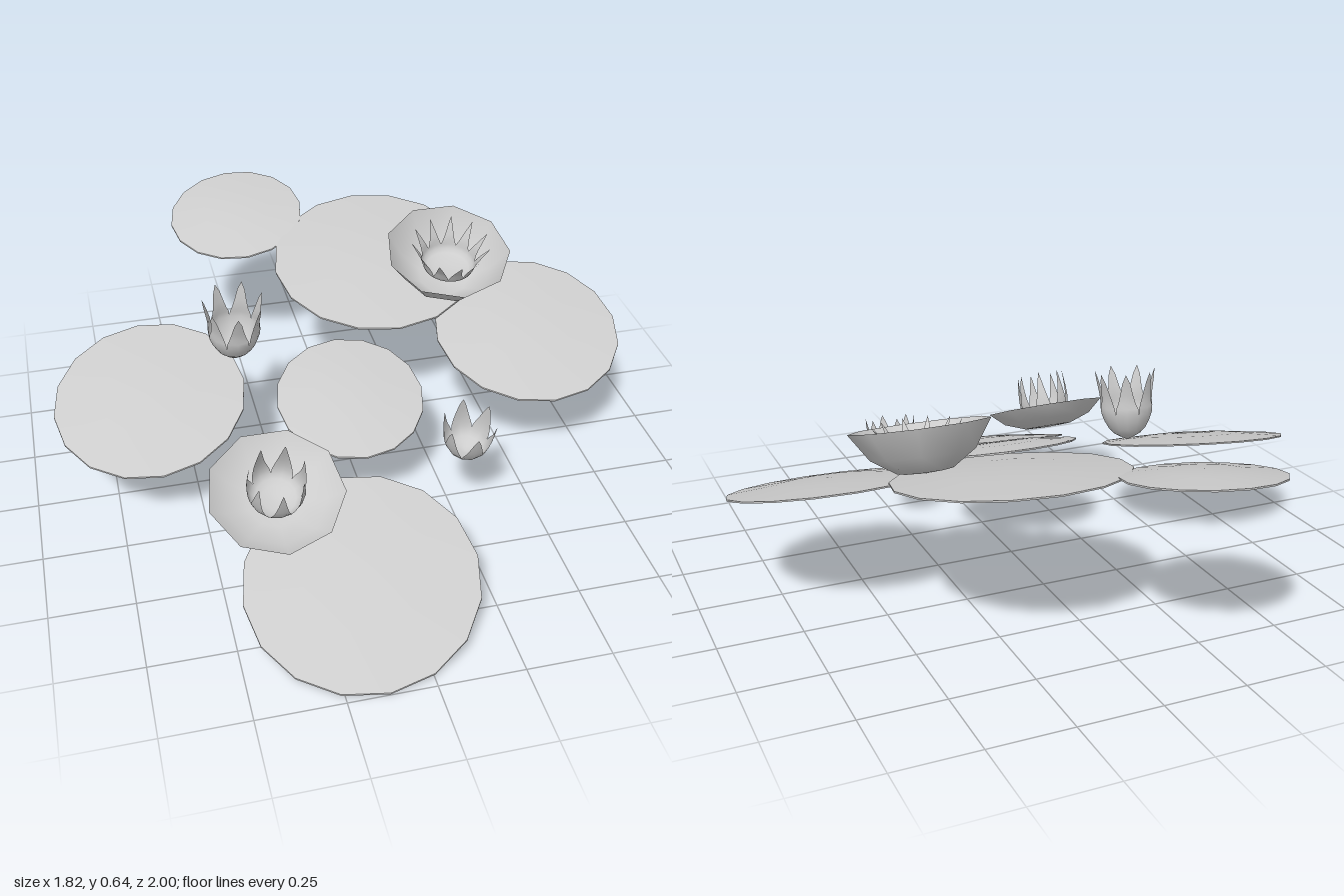
import * as THREE from 'three';
import { mergeVertices, toCreasedNormals } from 'three/addons/utils/BufferGeometryUtils.js';

const grey = new THREE.MeshStandardMaterial({ color: 0xcccccc, side: THREE.DoubleSide });
grey.name = 'light grey';

const toPoints = profile => profile.map(p => new THREE.Vector2(...p));

// Thin, slightly domed round leaf, sloping along x and z
function makePad([x, y, z], r, slopeX, slopeZ) {
  const profile = [[0, 0.004], [r * 0.5, 0], [r, -0.012], [r, -0.007], [r * 0.5, 0.007], [0, 0.012]];
  const lathe = new THREE.LatheGeometry(toPoints(profile), 16);
  const shorten = 1 / Math.hypot(1, slopeZ);
  const pos = lathe.attributes.position;
  for (let i = 0; i < pos.count; i++) {
    pos.setZ(i, pos.getZ(i) * shorten);
    pos.setY(i, pos.getY(i) + slopeX * pos.getX(i) + slopeZ * pos.getZ(i));
  }
  const mesh = new THREE.Mesh(toCreasedNormals(lathe, 0.7), grey);
  mesh.position.set(x, y, z);
  return mesh;
}

// Open bowl with one corner per outer petal
function makeBowl(profile) {
  const mesh = new THREE.Mesh(new THREE.LatheGeometry(toPoints(profile), 9), grey);
  mesh.name = 'outerBowl';
  return mesh;
}

// Ring of petals: joined up to a fraction of the profile, then tapering to tips
function makePetals(name, profile, count, joined, sharpness) {
  const curve = new THREE.SplineCurve(toPoints(profile));
  const rows = 10, cols = 2, verts = [], index = [];
  for (let p = 0; p < count; p++) {
    const start = verts.length / 3;
    for (let i = 0; i <= rows; i++) {
      const t = i / rows, q = curve.getPoint(t);
      const width = t <= joined ? 1 : ((1 - t) / (1 - joined)) ** sharpness;
      for (let j = 0; j <= cols; j++) {
        const a = ((p + (j / cols - 0.5) * width) / count) * Math.PI * 2;
        verts.push(q.x * Math.sin(a), q.y, q.x * Math.cos(a));
      }
    }
    for (let i = 0; i < rows; i++) {
      for (let j = 0; j < cols; j++) {
        const a = start + i * (cols + 1) + j, b = a + cols + 1;
        index.push(a, a + 1, b, a + 1, b + 1, b);
      }
    }
  }
  let geo = new THREE.BufferGeometry();
  geo.setAttribute('position', new THREE.Float32BufferAttribute(verts, 3));
  geo.setIndex(index);
  geo = mergeVertices(geo, 1e-4);
  geo.computeVertexNormals();
  const mesh = new THREE.Mesh(geo, grey);
  mesh.name = name;
  return mesh;
}

// Flower standing on its base point, leaning toward the front
function makeFlower(name, position, lean, ...rings) {
  const flower = new THREE.Group();
  flower.name = name;
  flower.add(...rings);
  flower.position.set(...position);
  flower.rotation.x = lean;
  return flower;
}

export function createModel() {
  const model = new THREE.Group();
  model.name = 'waterLilies';

  // Floating leaves: name, centre, radius, slope along x, slope along z
  const pads = [
    ['frontPad', [-0.13, 0.13, 0.68], 0.338, 0.06, -0.36],
    ['rightPad', [-0.62, 0.326, -0.052], 0.294, 0.075, -0.31],
    ['centrePad', [-0.023, 0.334, 0.098], 0.227, 0.0, -0.33],
    ['largeBackPad', [0.195, 0.481, -0.455], 0.338, 0.02, -0.21],
    ['leftPad', [0.607, 0.378, -0.078], 0.3, 0.0, -0.3],
    ['smallBackPad', [-0.218, 0.534, -0.78], 0.226, 0.07, -0.22],
  ];
  for (const [name, ...spec] of pads) {
    const pad = makePad(...spec);
    pad.name = name;
    model.add(pad);
  }

  // Open flowers: wide outer bowl with a ring of spiky petals inside
  const backPetals = makePetals('innerPetals', [[0, 0.03], [0.075, 0.04], [0.095, 0.085], [0.13, 0.145]], 11, 0.5, 1.3);
  backPetals.position.set(0.015, 0, -0.01);
  backPetals.rotation.x = -0.1;
  model.add(makeFlower('backFlower', [0.392, 0.455, -0.31], 0.32,
    makeBowl([[0, 0], [0.08, 0.008], [0.15, 0.055], [0.203, 0.135]]), backPetals));
  model.add(makeFlower('frontFlower', [-0.325, 0.238, 0.428], 0.41,
    makeBowl([[0, 0], [0.08, 0.003], [0.15, 0.028], [0.2, 0.072]]),
    makePetals('innerPetals', [[0, 0.02], [0.065, 0.035], [0.085, 0.09], [0.08, 0.19]], 7, 0.45, 1.1)));

  // Closed buds
  model.add(makeFlower('tallBud', [-0.34, 0.384, -0.13], 0.15,
    makePetals('budPetals', [[0, 0], [0.05, 0.03], [0.08, 0.09], [0.08, 0.14], [0.095, 0.22]], 7, 0.58, 0.85)));
  model.add(makeFlower('smallBud', [0.276, 0.24, 0.33], 0.25,
    makePetals('budPetals', [[0, 0], [0.05, 0.018], [0.072, 0.065], [0.08, 0.145]], 6, 0.55, 1)));

  return model;
}
